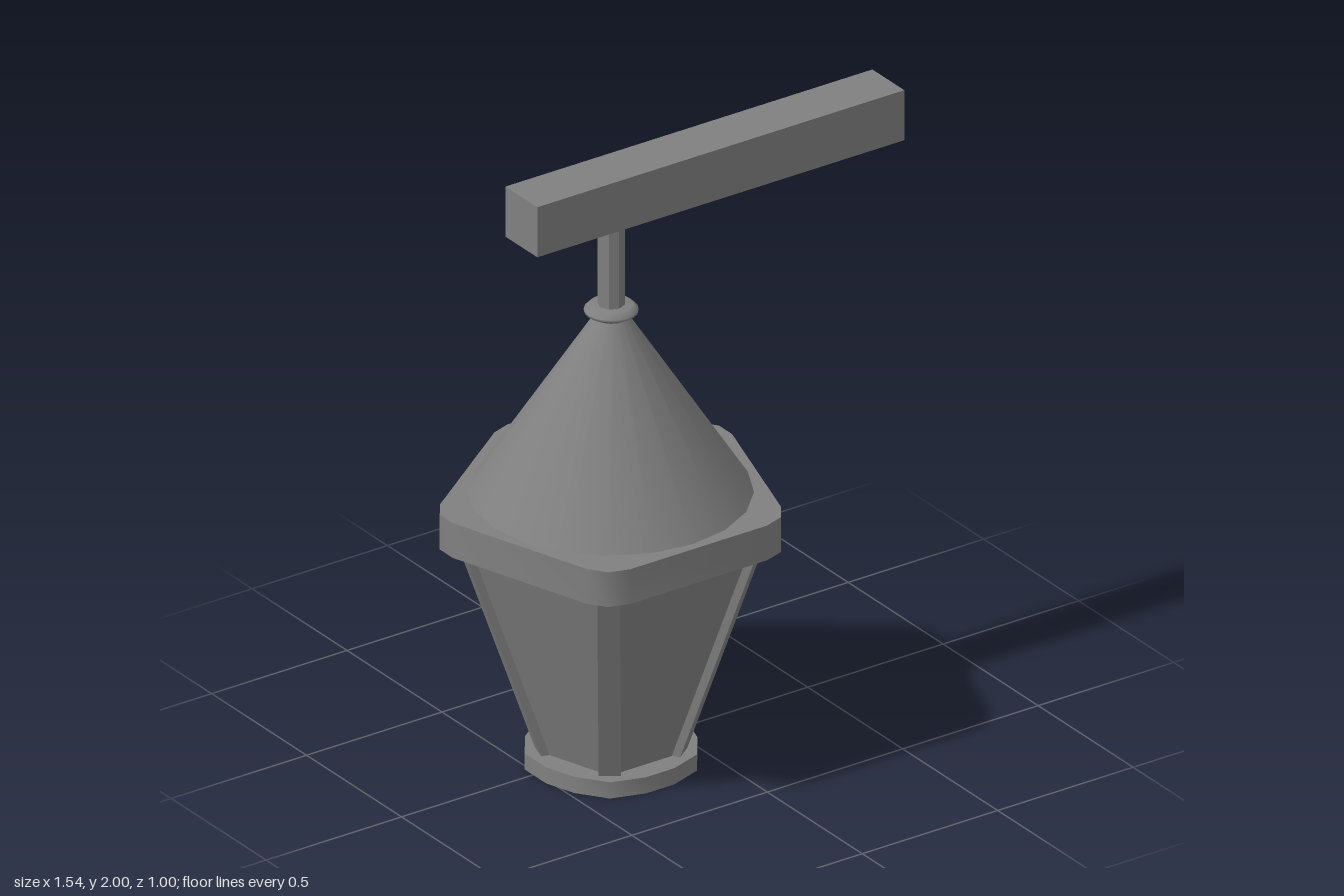
import * as THREE from 'three';
import { toCreasedNormals } from 'three/addons/utils/BufferGeometryUtils.js';

const SIDES = 5, STEP = Math.PI * 2 / SIDES, HALF = STEP / 2;
const CX = -0.254, CZ = 0.04; // axis of the lantern

const smooth = new THREE.MeshStandardMaterial({ color: 0x808080 });
const flat = new THREE.MeshStandardMaterial({ color: 0x808080, flatShading: true });

function add(parent, name, geometry, material, x = 0, y = 0, z = 0) {
  const mesh = new THREE.Mesh(geometry, material);
  mesh.name = name;
  mesh.position.set(x, y, z);
  parent.add(mesh);
  return mesh;
}

// Pentagonal slab whose corners are softly rounded
function roundedPentagon(apothem, radius, height) {
  const corner = apothem / Math.cos(HALF);
  const centre = corner - radius / Math.cos(HALF);
  const points = [];
  for (let i = 0; i < SIDES; i++) {
    const a = Math.PI / 2 + i * STEP;
    for (const k of [-1, 0, 1]) {
      const b = a + k * HALF;
      points.push(new THREE.Vector2(
        centre * Math.cos(a) + radius * Math.cos(b),
        centre * Math.sin(a) + radius * Math.sin(b)));
    }
  }
  const geometry = new THREE.ExtrudeGeometry(new THREE.Shape(points), { depth: height, bevelEnabled: false });
  return toCreasedNormals(geometry.rotateX(-Math.PI / 2), 0.7);
}

// Upright bar that leans outwards from rBottom to rTop (outer face)
function leaningPost(width, depth, height, rBottom, rTop) {
  const geometry = new THREE.BoxGeometry(width, height, depth);
  const p = geometry.attributes.position;
  for (let i = 0; i < p.count; i++) {
    const outer = p.getY(i) > 0 ? rTop : rBottom;
    p.setZ(i, p.getZ(i) + outer - depth / 2);
  }
  geometry.computeVertexNormals();
  return geometry;
}

export function createModel() {
  const model = new THREE.Group();
  model.name = 'hangingLantern';

  const lantern = new THREE.Group();
  lantern.name = 'lantern';
  lantern.position.set(CX, 0, CZ);
  model.add(lantern);

  // Base and collar
  add(lantern, 'base', roundedPentagon(0.257, 0.185, 0.055), smooth);
  add(lantern, 'collar', roundedPentagon(0.46, 0.112, 0.118), smooth, 0, 0.787, 0);

  // Tapered glass body, one pane per side
  const y0 = 0.055, y1 = 0.787, h = y1 - y0, mid = (y0 + y1) / 2;
  const body = new THREE.CylinderGeometry(0.476, 0.23, h, SIDES, 1, false, Math.PI);
  add(lantern, 'panes', body, flat, 0, mid, 0);

  // Corner posts, standing slightly proud of the panes
  const post = leaningPost(0.068, 0.06, h, 0.232, 0.479);
  for (let i = 0; i < SIDES; i++) {
    add(lantern, 'cornerPost', post, flat, 0, mid, 0).rotation.y = Math.PI + i * STEP;
  }

  // Conical roof
  add(lantern, 'roof', new THREE.CylinderGeometry(0.05, 0.432, 0.6, 20), smooth, 0, 1.205, 0);

  // Ring between roof and rod
  const ringProfile = [[0, 1.497], [0.05, 1.497], [0.083, 1.517], [0.083, 1.525], [0.066, 1.541], [0, 1.541]]
    .map(([r, y]) => new THREE.Vector2(r, y));
  add(lantern, 'ring', new THREE.LatheGeometry(ringProfile, 20), smooth);

  // Hanging rod
  add(lantern, 'rod', new THREE.CylinderGeometry(0.042, 0.042, 0.3, 8), flat, 0, 1.685, 0);

  // Support beam
  add(model, 'beam', new THREE.BoxGeometry(1.355, 0.17, 0.168), flat, 0.092, 1.915, CZ);

  return model;
}
